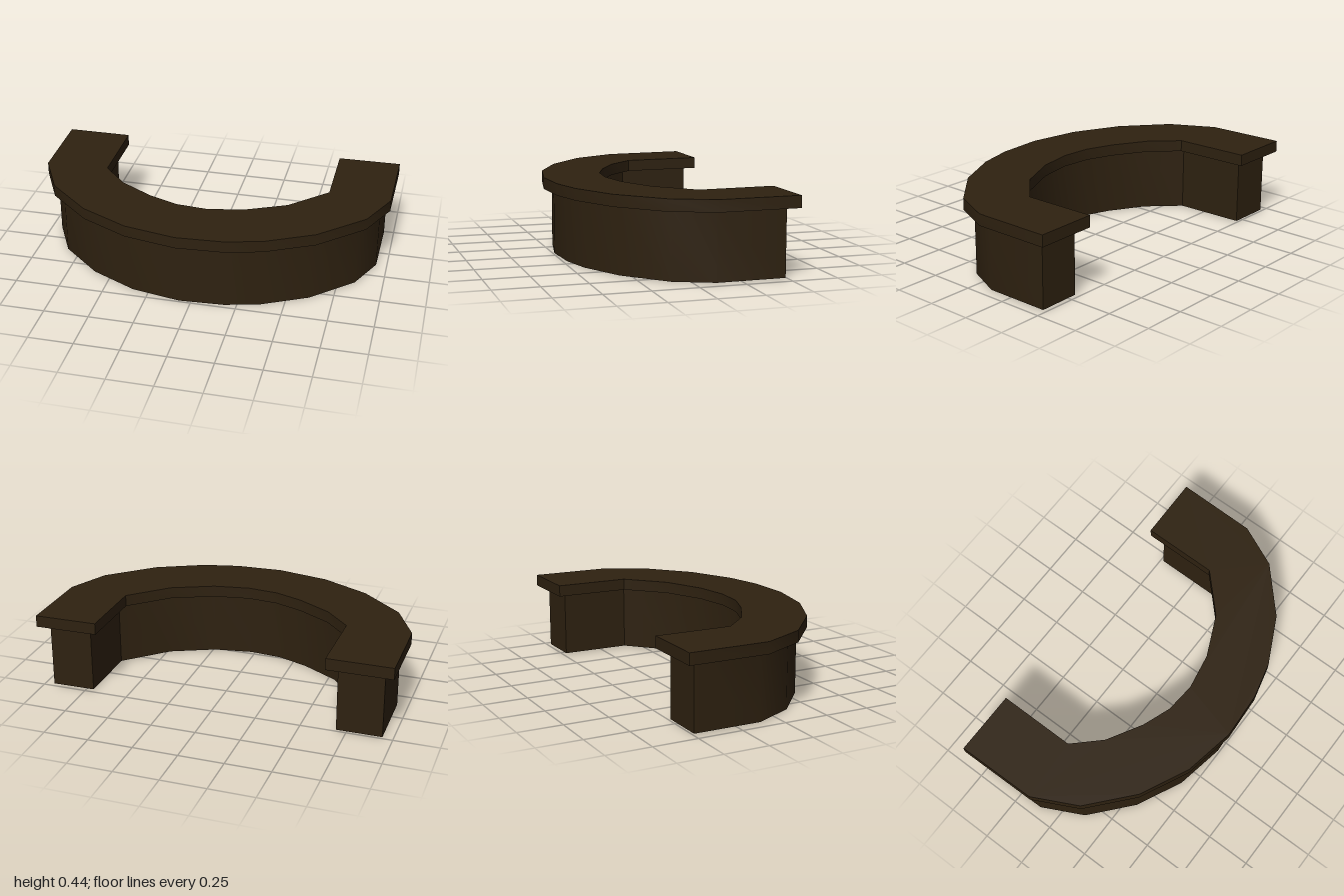
import * as THREE from 'three';
import { toCreasedNormals } from 'three/addons/utils/BufferGeometryUtils.js';

// Plan of the countertop as (x, z): outer edge, then inner edge back again
const PLAN = [
  [-1, -0.55], [-0.995, -0.1], [-0.87, 0.15], [-0.63, 0.36], [-0.36, 0.49], [-0.07, 0.545],
  [0.19, 0.53], [0.39, 0.48], [0.65, 0.35], [0.89, 0.13], [0.995, -0.1], [1, -0.54],
  [0.65, -0.535], [0.65, 0 - 0.117], [0.45, 0.075], [0.22, 0.18], [0.02, 0.215],
  [-0.15, 0.2], [-0.31, 0.14], [-0.5, 0.03], [-0.64, -0.117], [-0.64, -0.55],
].map(([x, z]) => new THREE.Vector2(x, z));

// Moves every edge of a closed outline inwards by d
function inset(points, d) {
  const n = points.length;
  const sign = THREE.ShapeUtils.isClockWise(points) ? -1 : 1;
  return points.map((p, i) => {
    const a = p.clone().sub(points[(i + n - 1) % n]).normalize();
    const b = points[(i + 1) % n].clone().sub(p).normalize();
    const na = new THREE.Vector2(-a.y, a.x), nb = new THREE.Vector2(-b.y, b.x);
    const k = sign * d / (1 + na.dot(nb));
    return p.clone().addScaledVector(na.add(nb), k);
  });
}

// Upright slab with the given plan, sloping up slightly towards the back
function slab(name, outline, bottom, top, material) {
  const geo = new THREE.ExtrudeGeometry(new THREE.Shape(outline), { depth: top - bottom, bevelEnabled: false });
  geo.rotateX(Math.PI / 2);
  geo.translate(0, top, 0);
  const pos = geo.attributes.position;
  for (let i = 0; i < pos.count; i++) pos.setY(i, pos.getY(i) + 0.0065 * (0.5 - pos.getZ(i)));
  const mesh = new THREE.Mesh(toCreasedNormals(geo, 0.7), material);
  mesh.name = name;
  return mesh;
}

export function createModel() {
  const group = new THREE.Group();
  group.name = 'curvedCounter';
  const darkWood = new THREE.MeshStandardMaterial({ color: 0x2e2110 });
  darkWood.name = 'dark wood';
  group.add(
    slab('counterBase', inset(PLAN, 0.055), 0, 0.367, darkWood),
    slab('countertop', PLAN, 0.367, 0.432, darkWood),
  );
  return group;
}
